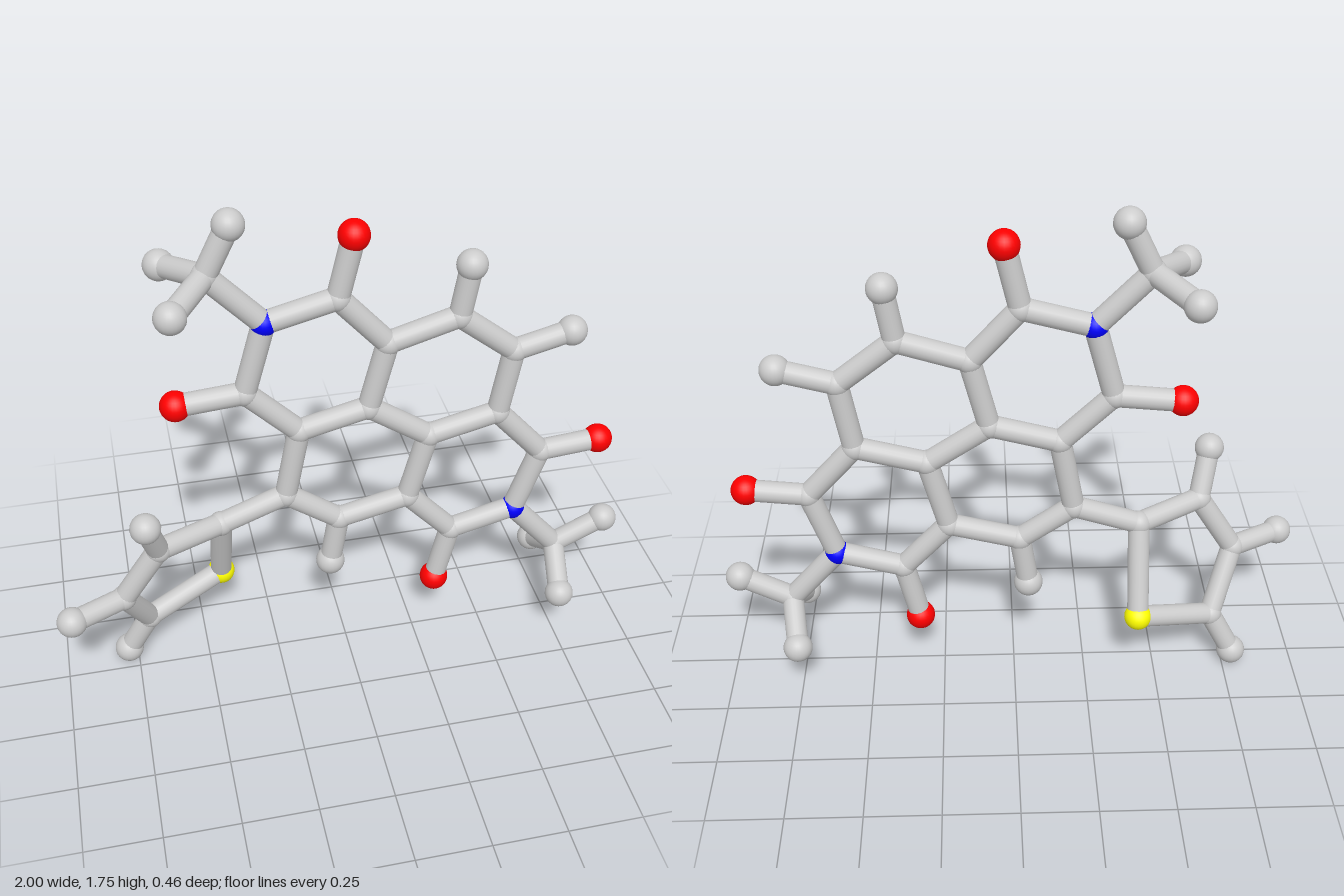
import * as THREE from 'three';

const STICK = 0.037;
const flat = x => -0.02 + 0.018 * x; // slight tilt of the fused ring plane
const ring = (x, y) => -0.47 * (x + 0.425) + 0.37 * (y - 0.6) - 0.015; // twisted side ring plane

// element: colour and ball radius
const KINDS = {
  carbon: [0xcccccc, 0.042],
  hydrogen: [0xcccccc, 0.05],
  oxygen: [0xff0000, 0.05],
  nitrogen: [0x0000ff, 0.043],
  sulfur: [0xffff00, 0.047],
};

// key: [element, x, y, z]; a missing z lies on the fused ring plane
const ATOMS = {
  // upper imide ring
  n1: ['nitrogen', -0.25, 1.36], a1: ['carbon', -0.02, 1.42], a2: ['carbon', 0.14, 1.24],
  a3: ['carbon', 0.08, 1.0], a4: ['carbon', -0.15, 0.94], a5: ['carbon', -0.32, 1.11],
  o1: ['oxygen', 0.03, 1.63], o2: ['oxygen', -0.54, 1.09],
  // upper right ring
  b1: ['carbon', 0.37, 1.31], b2: ['carbon', 0.56, 1.16], b3: ['carbon', 0.52, 0.92], b4: ['carbon', 0.285, 0.86],
  hb1: ['hydrogen', 0.4, 1.49], hb2: ['hydrogen', 0.75, 1.21],
  // lower left ring
  c1: ['carbon', -0.2, 0.68], c2: ['carbon', -0.02, 0.55], c3: ['carbon', 0.22, 0.61],
  hc2: ['hydrogen', -0.05, 0.36],
  // lower imide ring
  d1: ['carbon', 0.38, 0.435], n2: ['nitrogen', 0.605, 0.495], d2: ['carbon', 0.685, 0.735],
  o3: ['oxygen', 0.33, 0.215], o4: ['oxygen', 0.89, 0.755],
  // upper methyl
  m1: ['carbon', -0.42, 1.54, -0.03], hm1: ['hydrogen', -0.34, 1.7, -0.03],
  hm2: ['hydrogen', -0.54, 1.505, 0.125], hm3: ['hydrogen', -0.54, 1.505, -0.19],
  // lower methyl
  m2: ['carbon', 0.775, 0.3, -0.005], hm4: ['hydrogen', 0.95, 0.39, 0],
  hm5: ['hydrogen', 0.75, 0.2, 0.155], hm6: ['hydrogen', 0.75, 0.2, -0.16],
};

// five-sided side ring with its hydrogens
const SIDE = {
  s: ['sulfur', -0.425, 0.285], t1: ['carbon', -0.425, 0.6], t2: ['carbon', -0.645, 0.62],
  t3: ['carbon', -0.775, 0.42], t4: ['carbon', -0.695, 0.21],
  ht2: ['hydrogen', -0.68, 0.78], ht3: ['hydrogen', -0.95, 0.425], ht4: ['hydrogen', -0.78, 0.055],
};
for (const [key, [kind, x, y]] of Object.entries(SIDE)) ATOMS[key] = [kind, x, y, ring(x, y)];

// chains of bonded atoms
const BONDS = [
  'n1 a1 a2 a3 a4 a5 n1', 'a1 o1', 'a5 o2', 'a2 b1 b2 b3 b4 a3', 'b1 hb1', 'b2 hb2',
  'a4 c1 c2 c3 b4', 'c2 hc2', 'c3 d1 n2 d2 b3', 'd1 o3', 'd2 o4',
  'n1 m1 hm1', 'hm2 m1 hm3', 'n2 m2 hm4', 'hm5 m2 hm6',
  'c1 t1 t2 t3 t4 s t1', 't2 ht2', 't3 ht3', 't4 ht4',
];

export function createModel() {
  const model = new THREE.Group();
  const atoms = new THREE.Group();
  const bonds = new THREE.Group();
  atoms.name = 'atoms';
  bonds.name = 'bonds';
  model.add(atoms, bonds);

  // atom balls
  const looks = {};
  for (const [kind, [color, radius]] of Object.entries(KINDS)) {
    looks[kind] = [new THREE.SphereGeometry(radius, 24, 16), new THREE.MeshStandardMaterial({ color })];
  }
  const place = {};
  for (const [key, [kind, x, y, z = flat(x)]] of Object.entries(ATOMS)) {
    const ball = new THREE.Mesh(...looks[kind]);
    ball.name = kind + 'Atom';
    ball.position.set(x, y, z);
    place[key] = ball.position;
    atoms.add(ball);
  }

  // bond sticks
  const up = new THREE.Vector3(0, 1, 0);
  const grey = looks.carbon[1];
  for (const chain of BONDS) {
    const keys = chain.split(' ');
    for (let i = 1; i < keys.length; i++) {
      const a = place[keys[i - 1]], b = place[keys[i]];
      const along = b.clone().sub(a);
      const stick = new THREE.Mesh(new THREE.CylinderGeometry(STICK, STICK, along.length(), 20, 1, true), grey);
      stick.name = 'bond';
      stick.position.copy(a).add(b).multiplyScalar(0.5);
      stick.quaternion.setFromUnitVectors(up, along.normalize());
      bonds.add(stick);
    }
  }
  return model;
}
